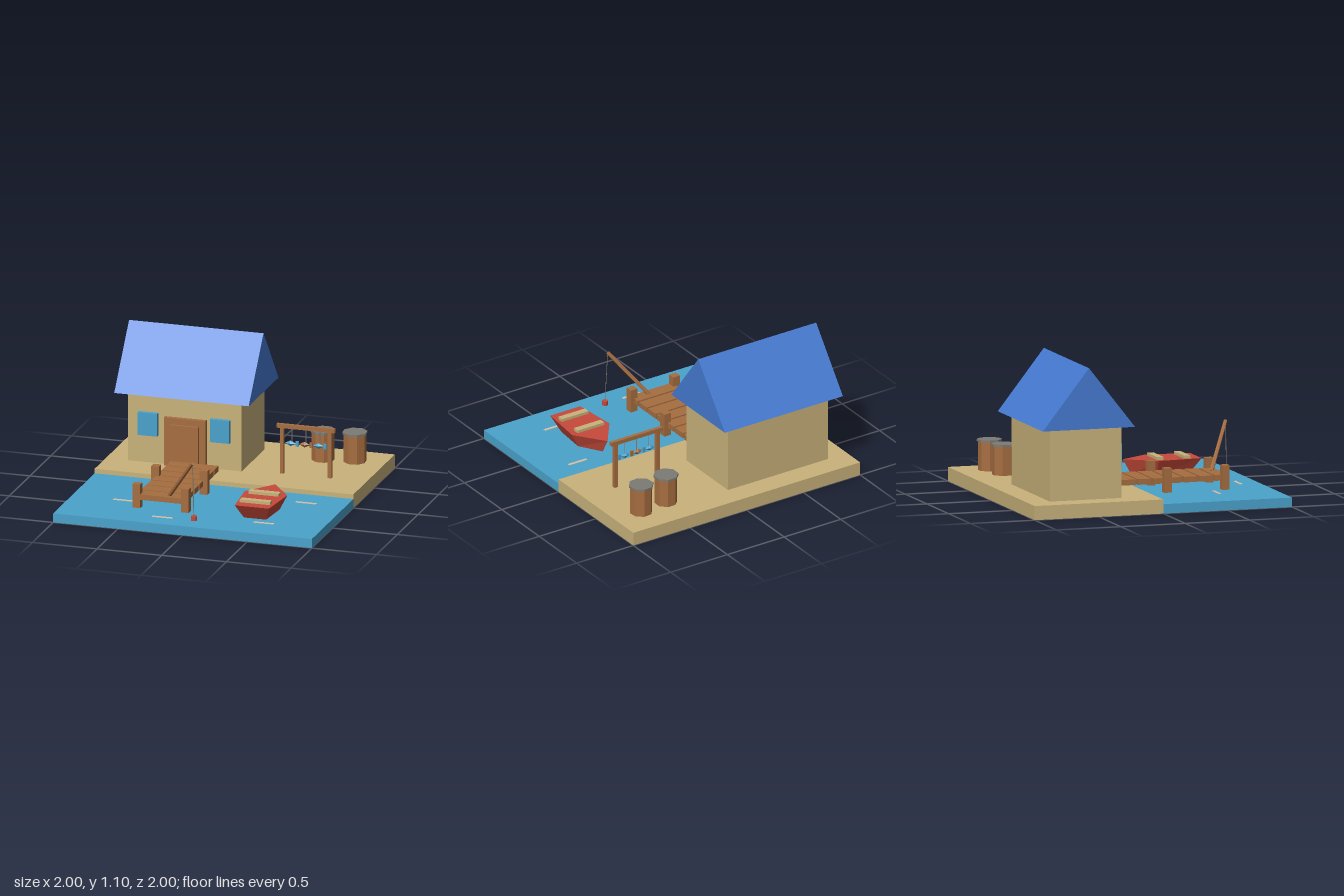
import * as THREE from 'three';

const mat = (name, color, side = THREE.FrontSide) => {
  const m = new THREE.MeshStandardMaterial({ color, flatShading: true, side });
  m.name = name;
  return m;
};

export function createModel() {
  const sand = mat('sand', 0xc8b27b, THREE.DoubleSide);
  const water = mat('water', 0x4aa2cb, THREE.DoubleSide);
  const wood = mat('wood', 0xa66d40);
  const blue = mat('roof blue', 0x457ad2);
  const red = mat('red paint', 0xc64a3a);
  const grey = mat('grey metal', 0x7d7a74);
  const foam = mat('foam', 0xd2c6b0);

  const model = new THREE.Group();
  model.name = 'fishingHut';

  const add = (name, geometry, material, x = 0, y = 0, z = 0, parent = model) => {
    const mesh = new THREE.Mesh(geometry, material);
    mesh.name = name;
    mesh.position.set(x, y, z);
    parent.add(mesh);
    return mesh;
  };
  // Box given by its limits on each axis
  const box = (name, material, x0, x1, y0, y1, z0, z1, parent = model) =>
    add(name, new THREE.BoxGeometry(x1 - x0, y1 - y0, z1 - z0), material,
      (x0 + x1) / 2, (y0 + y1) / 2, (z0 + z1) / 2, parent);
  // Cylinder between two points
  const rod = (name, material, a, b, rA, rB, sides, parent = model) => {
    const from = new THREE.Vector3(...a), to = new THREE.Vector3(...b);
    const dir = to.clone().sub(from);
    const mid = from.clone().add(to).multiplyScalar(0.5);
    const mesh = add(name, new THREE.CylinderGeometry(rB, rA, dir.length(), sides), material,
      mid.x, mid.y, mid.z, parent);
    mesh.quaternion.setFromUnitVectors(new THREE.Vector3(0, 1, 0), dir.normalize());
    return mesh;
  };
  const group = (name) => {
    const g = new THREE.Group();
    g.name = name;
    model.add(g);
    return g;
  };

  // Ground slabs, hollow underneath
  const slabs = [
    box('shore', sand, -1, 1, 0, 0.105, -1, 0),
    box('sea', water, -1, 1, 0, 0.07, 0, 1),
  ];
  for (const slab of slabs) {
    const index = Array.from(slab.geometry.index.array);
    index.splice(18, 6); // drop the bottom face
    slab.geometry.setIndex(index);
    slab.geometry.clearGroups();
  }

  // House
  const house = group('house');
  box('walls', sand, -0.83, 0.05, 0.105, 0.645, -0.825, -0.27, house);
  const gable = new THREE.Shape([
    new THREE.Vector2(-0.358, 0), new THREE.Vector2(0.358, 0), new THREE.Vector2(0, 0.455),
  ]);
  const roof = add('roof', new THREE.ExtrudeGeometry(gable, { depth: 1.04, bevelEnabled: false }),
    blue, -0.91, 0.642, -0.548, house);
  roof.rotation.y = Math.PI / 2;
  box('doorFrame', wood, -0.54, -0.22, 0.105, 0.475, -0.28, -0.235, house);
  box('door', wood, -0.49, -0.27, 0.105, 0.428, -0.25, -0.213, house);
  for (const x of [-0.67, -0.11])
    box('window', water, x - 0.075, x + 0.075, 0.32, 0.495, -0.28, -0.235, house);

  // Dock
  const dock = group('dock');
  for (let i = 0; i < 7; i++) {
    const z = -0.083 + i * 0.12;
    box('plank', wood, -0.455, -0.085, 0.135, 0.177, z - 0.052, z + 0.052, dock);
  }
  for (const x of [-0.457, -0.083])
    for (const z of [0.21, 0.66])
      box('post', wood, x - 0.03, x + 0.03, 0.07, 0.252, z - 0.028, z + 0.028, dock);

  // Fishing rod
  const fishing = group('fishingRod');
  rod('pole', wood, [-0.22, 0.17, 0.635], [0.022, 0.505, 0.828], 0.016, 0.014, 6, fishing);
  rod('line', grey, [0.022, 0.5, 0.828], [0.037, 0.1, 0.84], 0.003, 0.003, 4, fishing);
  add('bobber', new THREE.CylinderGeometry(0.023, 0.023, 0.04, 8), red, 0.037, 0.084, 0.84, fishing);

  // Boat hull: deck outline joined to a smaller keel outline
  const boat = group('boat');
  const outline = [[0, 0.175], [-0.165, 0.4], [-0.132, 0.742], [0.132, 0.742], [0.165, 0.4]];
  const positions = [];
  for (const [x, z] of outline) positions.push(0.453 + x, 0.184, z);
  for (const [x, z] of outline) positions.push(0.453 + x * 0.65, 0.0705, 0.43 + (z - 0.43) * 0.75);
  const faces = [];
  for (let i = 0; i < 5; i++) {
    const j = (i + 1) % 5;
    faces.push(i, i + 5, j, j, i + 5, j + 5);
  }
  for (let i = 1; i < 4; i++) faces.push(0, i, i + 1, 5, i + 6, i + 5);
  const hull = new THREE.BufferGeometry();
  hull.setAttribute('position', new THREE.Float32BufferAttribute(positions, 3));
  hull.setIndex(faces);
  const hullFlat = hull.toNonIndexed();
  hullFlat.computeVertexNormals();
  add('hull', hullFlat, red, 0, 0, 0, boat);
  for (const z of [0.425, 0.635])
    box('seat', sand, 0.333, 0.567, 0.178, 0.206, z - 0.025, z + 0.025, boat);

  // Drying rack with hanging fish
  const rack = group('dryingRack');
  box('beam', wood, 0.305, 0.755, 0.457, 0.487, -0.34, -0.312, rack);
  for (const x of [0.345, 0.715])
    box('rackPost', wood, x - 0.014, x + 0.014, 0.105, 0.46, -0.339, -0.313, rack);
  [water, wood, water].forEach((color, i) => {
    const x = 0.42 + i * 0.108;
    rod('string', grey, [x, 0.46, -0.326], [x, 0.35, -0.326], 0.004, 0.004, 4, rack);
    const fish = add('fish', new THREE.OctahedronGeometry(1), color, x - 0.01, 0.342, -0.326, rack);
    fish.scale.set(0.045, 0.022, 0.016);
    box('fishTail', color, x + 0.031, x + 0.053, 0.322, 0.363, -0.332, -0.32, rack);
  });

  // Barrels
  for (const [x, z, turn] of [[0.533, -0.727, 0], [0.77, -0.755, 0.1]]) {
    const barrel = group('barrel');
    barrel.position.set(x, 0, z);
    barrel.rotation.y = turn;
    add('barrelBody', new THREE.CylinderGeometry(0.085, 0.085, 0.215, 8, 1, false, Math.PI / 8),
      wood, 0, 0.2125, 0, barrel);
    add('barrelLid', new THREE.CylinderGeometry(0.094, 0.094, 0.016, 8, 1, false, Math.PI / 8),
      grey, 0, 0.328, 0, barrel);
  }

  // Ripples on the water
  for (const [x, z] of [[0.7, 0.2], [-0.6, 0.55], [-0.203, 0.847], [0.55, 0.75]])
    box('ripple', foam, x - 0.08, x + 0.08, 0.0705, 0.0745, z - 0.011, z + 0.011);

  return model;
}
